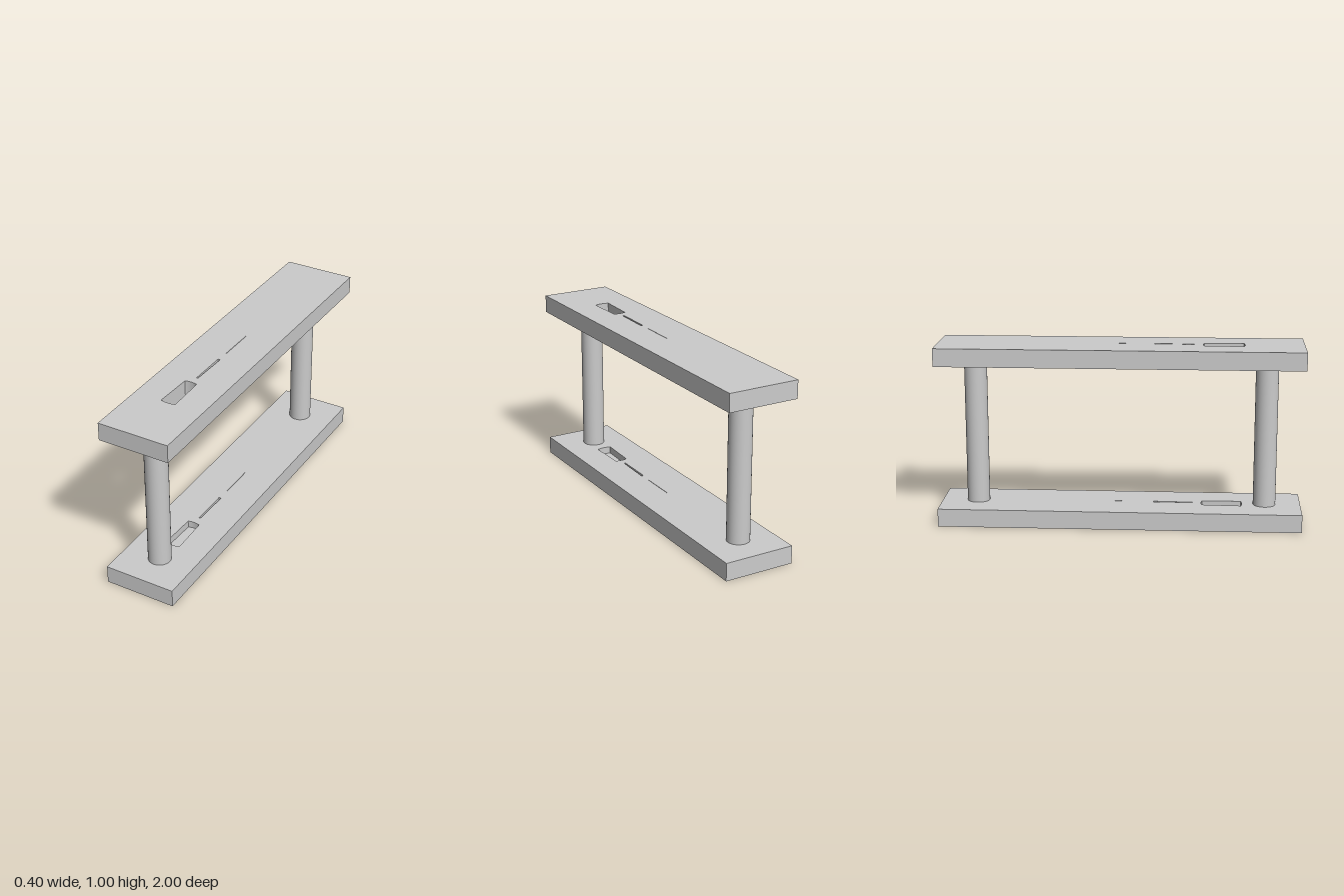
import * as THREE from 'three';

const material = new THREE.MeshStandardMaterial({ color: 0xcccccc });

// Cut-outs along the plates: z of both ends, and left/right x at each end
const slots = [
  { z0: 0.455, z1: 0.67, x0: [-0.035, 0.034], x1: [-0.043, 0.04], bow: 0.012 },
  { z0: 0.185, z1: 0.4, x0: [0.002, 0.015], x1: [0.001, 0.009], bow: 0.004 },
  { z0: -0.1, z1: 0.11, x0: [0.01, 0.0125], x1: [0.009, 0.0115], bow: 0 },
];

// Tapered slot with slightly bowed ends
function slotPath({ z0, z1, x0, x1, bow }) {
  const path = new THREE.Path();
  path.moveTo(x0[0], z0);
  path.quadraticCurveTo((x0[0] + x0[1]) / 2, z0 - bow, x0[1], z0);
  path.lineTo(x1[1], z1);
  path.quadraticCurveTo((x1[0] + x1[1]) / 2, z1 + bow, x1[0], z1);
  path.closePath();
  return path;
}

// Slotted slab whose upper face lies at the given height
function slottedSlab(name, top, thickness) {
  const shape = new THREE.Shape([
    new THREE.Vector2(-0.2, -1), new THREE.Vector2(0.2, -1),
    new THREE.Vector2(0.2, 1), new THREE.Vector2(-0.2, 1),
  ]);
  shape.holes = slots.map(slotPath);
  const geometry = new THREE.ExtrudeGeometry(shape, {
    depth: thickness, bevelEnabled: false, curveSegments: 8,
  });
  geometry.rotateX(Math.PI / 2); // shape y becomes z, depth goes down
  geometry.translate(0, top, 0);
  const mesh = new THREE.Mesh(geometry, material);
  mesh.name = name;
  return mesh;
}

export function createModel() {
  const model = new THREE.Group();
  model.name = 'slottedFrame';

  // Upper plate, slots cut right through
  model.add(slottedSlab('upperPlate', 1, 0.1));

  // Lower plate, slots are shallow recesses over a solid base
  const recess = 0.04;
  const lowerPlate = new THREE.Group();
  lowerPlate.name = 'lowerPlate';
  const base = new THREE.Mesh(new THREE.BoxGeometry(0.4, 0.1 - recess, 2), material);
  base.name = 'lowerPlateBase';
  base.position.y = (0.1 - recess) / 2;
  lowerPlate.add(base, slottedSlab('lowerPlateTop', 0.1, recess));
  model.add(lowerPlate);

  // Round posts between the plates
  for (const [name, z] of [['frontPost', 0.8], ['backPost', -0.8]]) {
    const post = new THREE.Mesh(new THREE.CylinderGeometry(0.0625, 0.0625, 0.8, 32), material);
    post.name = name;
    post.position.set(0, 0.5, z);
    model.add(post);
  }
  return model;
}
